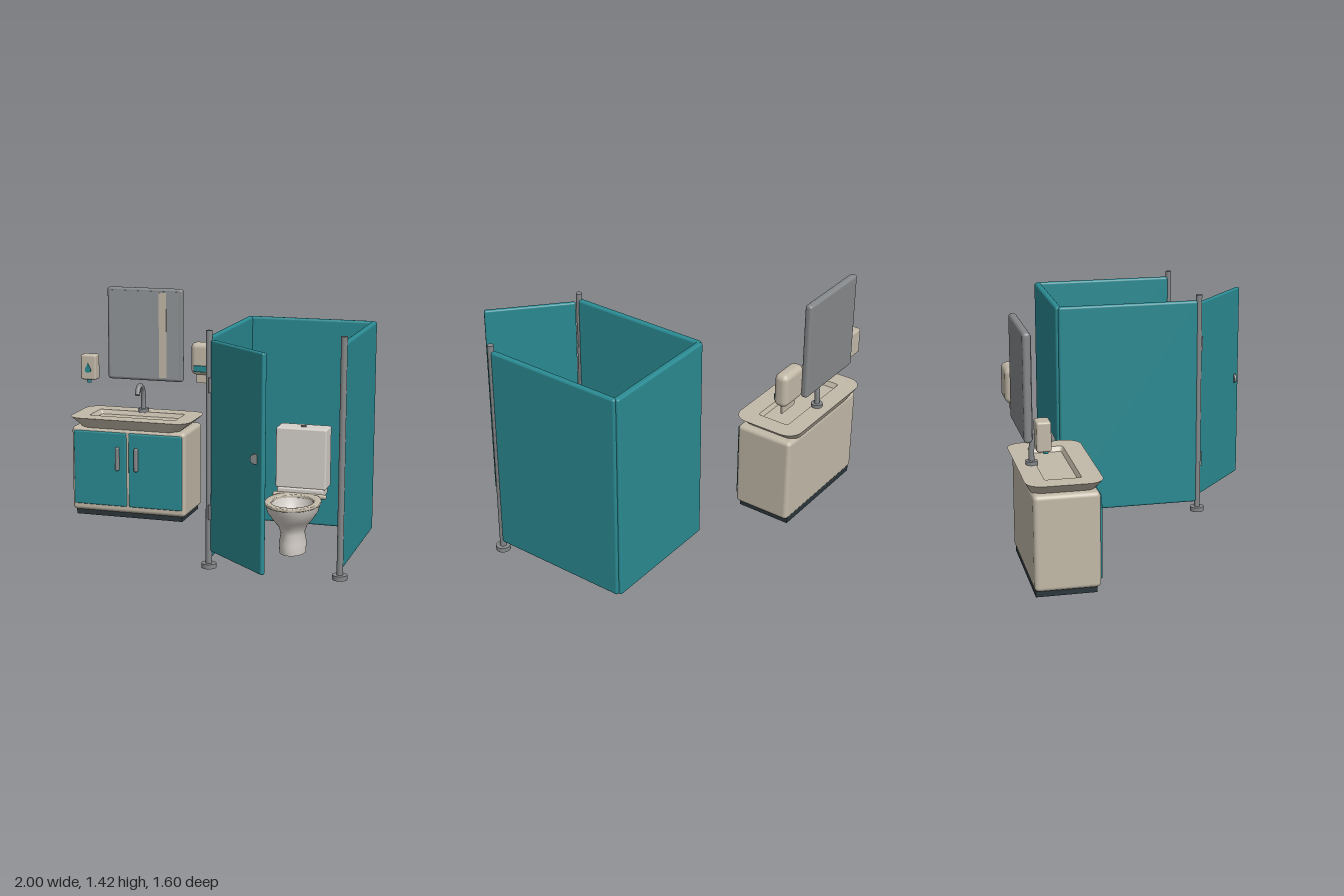
import * as THREE from 'three';
import { RoundedBoxGeometry } from 'three/addons/geometries/RoundedBoxGeometry.js';
import { toCreasedNormals } from 'three/addons/utils/BufferGeometryUtils.js';

const mat = (color) => new THREE.MeshStandardMaterial({ color, side: THREE.DoubleSide });
const TEAL = mat(0x2a8a92), BEIGE = mat(0xc2b9a8), WHITE = mat(0xd6d0ca), STEEL = mat(0x85888a);
const GLASS = mat(0x929799), DARK = mat(0x2b363b);

function add(parent, name, geometry, material, x = 0, y = 0, z = 0) {
  const mesh = new THREE.Mesh(geometry, material);
  mesh.name = name;
  mesh.position.set(x, y, z);
  parent.add(mesh);
  return mesh;
}

// Box given by its min and max on each axis, with optional rounded edges
function box(parent, name, material, [x0, x1], [y0, y1], [z0, z1], r = 0) {
  const size = [x1 - x0, y1 - y0, z1 - z0];
  const g = r ? new RoundedBoxGeometry(...size, 3, r) : new THREE.BoxGeometry(...size);
  return add(parent, name, g, material, (x0 + x1) / 2, (y0 + y1) / 2, (z0 + z1) / 2);
}

function rod(parent, name, material, r, y0, y1, x, z) {
  return add(parent, name, new THREE.CylinderGeometry(r, r, y1 - y0, 24), material, x, (y0 + y1) / 2, z);
}

function group(parent, name) {
  const g = new THREE.Group();
  g.name = name;
  parent.add(g);
  return g;
}

// Horizontal cross-sections
function ellipseRing(y, rx, rz, cz, n = 40) {
  return Array.from({ length: n }, (_, i) => {
    const t = (i / n) * Math.PI * 2;
    return [rx * Math.cos(t), y, cz + rz * Math.sin(t)];
  });
}
function rectRing(y, hw, hd, r) {
  const pts = [];
  for (let k = 0; k < 4; k++) {
    const sx = k === 0 || k === 3 ? 1 : -1, sz = k < 2 ? 1 : -1;
    for (let i = 0; i <= 6; i++) {
      const t = (k + i / 6) * Math.PI / 2;
      pts.push([sx * (hw - r) + r * Math.cos(t), y, sz * (hd - r) + r * Math.sin(t)]);
    }
  }
  return pts;
}

// Skin joining cross-sections in order, closed at both ends
function loft(rings, crease) {
  const n = rings[0].length, last = (rings.length - 1) * n, pos = rings.flat(2), idx = [];
  for (const ring of [rings[0], rings[rings.length - 1]]) {
    for (let a = 0; a < 3; a++) pos.push(ring.reduce((s, p) => s + p[a], 0) / n);
  }
  const c0 = rings.length * n, c1 = c0 + 1;
  for (let j = 0; j < n; j++) {
    const k = (j + 1) % n;
    for (let i = 0; i < last; i += n) idx.push(i + j, i + n + j, i + k, i + k, i + n + j, i + n + k);
    idx.push(c0, j, k, c1, last + k, last + j);
  }
  const g = new THREE.BufferGeometry();
  g.setAttribute('position', new THREE.Float32BufferAttribute(pos, 3));
  g.setIndex(idx);
  return toCreasedNormals(g, crease);
}

function buildStall(root) {
  const stall = group(root, 'stall');
  const high = [0.06, 1.32];
  box(stall, 'backPanel', TEAL, [0.2, 0.955], high, [-0.437, -0.397], 0.014);
  for (const [x, side] of [[0.203, 'right'], [0.953, 'left']]) {
    box(stall, side + 'Panel', TEAL, [x - 0.018, x + 0.018], high, [-0.42, 0.425], 0.014);
    const px = side === 'right' ? 0.2 : 0.955;
    rod(stall, side + 'Post', STEEL, 0.018, 0, 1.355, px, 0.432);
    rod(stall, side + 'PostFoot', STEEL, 0.042, 0, 0.027, px, 0.432);
  }

  // Half-open door turning about the right post
  const door = group(stall, 'door');
  door.position.set(0.222, 0, 0.442);
  door.rotation.y = -Math.atan2(0.35, 0.39);
  box(door, 'doorPanel', TEAL, [0, 0.524], [0.1, 1.305], [-0.014, 0.014], 0.01);
  for (const y of [0.285, 1.01]) rod(stall, 'hinge', STEEL, 0.014, y, y + 0.085, 0.215, 0.448);
  const latch = add(stall, 'latch', new THREE.CylinderGeometry(0.028, 0.028, 0.014, 24), STEEL, 0.557, 0.73, 0.765);
  latch.rotation.x = Math.PI / 2;
}

function buildToilet(root) {
  const toilet = group(root, 'toilet');
  toilet.position.x = 0.578;
  // Pedestal, outer bowl, rim and hollow inside: [y, half width, half length, centre z]
  const sections = [
    [0, 0.076, 0.107, -0.015], [0.06, 0.078, 0.115, -0.015], [0.12, 0.068, 0.1, -0.012],
    [0.165, 0.084, 0.115, -0.01], [0.2, 0.115, 0.145, -0.008], [0.25, 0.148, 0.185, -0.006],
    [0.29, 0.157, 0.197, -0.006], [0.295, 0.122, 0.15, 0.012], [0.24, 0.108, 0.132, 0.01],
    [0.19, 0.075, 0.09, 0], [0.165, 0.035, 0.045, -0.01],
  ];
  add(toilet, 'bowl', loft(sections.map((s) => ellipseRing(...s)), 0.9), WHITE);

  const ring = new THREE.Shape().absellipse(0, -0.008, 0.154, 0.2, 0, Math.PI * 2);
  ring.holes.push(new THREE.Path().absellipse(0, 0.012, 0.131, 0.156, 0, Math.PI * 2));
  const seat = new THREE.ExtrudeGeometry(ring, {
    depth: 0.008, bevelSize: 0.008, bevelThickness: 0.007, bevelSegments: 3, curveSegments: 40,
  });
  seat.rotateX(Math.PI / 2);
  add(toilet, 'seat', toCreasedNormals(seat, 0.8), BEIGE, 0, 0.304, 0);
  box(toilet, 'seatHinge', BEIGE, [-0.163, 0.163], [0.288, 0.314], [-0.18, -0.15], 0.012);
  box(toilet, 'tankShelf', WHITE, [-0.14, 0.14], [0.29, 0.34], [-0.305, -0.17], 0.01);
  box(toilet, 'tank', WHITE, [-0.153, 0.153], [0.335, 0.7], [-0.322, -0.185], 0.01);
  rod(toilet, 'flushButton', STEEL, 0.017, 0.695, 0.706, 0, -0.25);
}

function buildPaperHolder(root) {
  const holder = group(root, 'paperHolder');
  const roll = add(holder, 'paperRoll', new THREE.CylinderGeometry(0.057, 0.057, 0.07, 32), WHITE, 0.9, 0.498, -0.122);
  roll.rotation.z = Math.PI / 2;
  box(holder, 'holderArm', STEEL, [0.862, 0.87], [0.47, 0.49], [-0.122, -0.064]);
  box(holder, 'paperFlap', WHITE, [0.848, 0.885], [0.382, 0.49], [-0.07, -0.062], 0.003);
}

function buildVanity(root) {
  const vanity = group(root, 'vanity');
  box(vanity, 'plinth', DARK, [-0.94, -0.235], [0, 0.04], [-0.76, -0.425]);
  box(vanity, 'cabinet', BEIGE, [-0.962, -0.21], [0.032, 0.572], [-0.768, -0.406], 0.025);
  for (const [x0, x1, hx] of [[-0.945, -0.595, -0.65], [-0.58, -0.23, -0.526]]) {
    box(vanity, 'cabinetDoor', TEAL, [x0, x1], [0.075, 0.55], [-0.42, -0.396], 0.01);
    box(vanity, 'doorHandle', STEEL, [hx - 0.012, hx + 0.012], [0.31, 0.46], [-0.4, -0.372], 0.009);
  }

  // Flared top with a shallow recess
  const top = loft([
    rectRing(0.562, 0.315, 0.172, 0.06), rectRing(0.632, 0.397, 0.21, 0.09),
    rectRing(0.632, 0.286, 0.1, 0.012), rectRing(0.605, 0.27, 0.088, 0.012),
  ], 0.5);
  add(vanity, 'basin', top, BEIGE, -0.587, 0, -0.592);

  // Curved tap
  rod(vanity, 'tapBase', STEEL, 0.034, 0.625, 0.652, -0.587, -0.715);
  const path = new THREE.CatmullRomCurve3([
    [0.65, -0.715], [0.72, -0.714], [0.775, -0.7], [0.807, -0.66], [0.8, -0.62], [0.76, -0.597],
  ].map(([y, z]) => new THREE.Vector3(-0.587, y, z)));
  add(vanity, 'tapSpout', new THREE.TubeGeometry(path, 32, 0.016, 12), STEEL);
  const tip = add(vanity, 'spoutTip', new THREE.CylinderGeometry(0.016, 0.016, 0.006, 12), STEEL, -0.587, 0.76, -0.597);
  tip.rotation.x = -0.5;
}

function buildWallItems(root) {
  const mirror = group(root, 'mirror');
  box(mirror, 'mirrorFrame', STEEL, [-0.84, -0.335], [0.825, 1.42], [-0.79, -0.745], 0.018);
  box(mirror, 'mirrorGlass', GLASS, [-0.822, -0.353], [0.843, 1.402], [-0.76, -0.742]);
  box(mirror, 'mirrorHighlight', BEIGE, [-0.49, -0.44], [0.85, 1.395], [-0.745, -0.74]);

  const soap = group(root, 'soapDispenser');
  box(soap, 'soapBody', BEIGE, [-1, -0.897], [0.823, 0.985], [-0.75, -0.672], 0.012);
  rod(soap, 'soapNozzle', TEAL, 0.014, 0.803, 0.83, -0.949, -0.695);
  const drop = new THREE.Shape();
  drop.moveTo(0, 0.035);
  drop.bezierCurveTo(0.008, 0.015, 0.02, 0.005, 0.02, -0.008);
  drop.bezierCurveTo(0.02, -0.034, -0.02, -0.034, -0.02, -0.008);
  drop.bezierCurveTo(-0.02, 0.005, -0.008, 0.015, 0, 0.035);
  add(soap, 'soapDrop', new THREE.ExtrudeGeometry(drop, { depth: 0.006, bevelEnabled: false }), TEAL, -0.949, 0.897, -0.674);

  const towels = group(root, 'towelDispenser');
  box(towels, 'towelBody', BEIGE, [-0.275, -0.08], [0.883, 1.09], [-0.805, -0.718], 0.035);
  box(towels, 'towelSlot', TEAL, [-0.25, -0.108], [0.905, 0.946], [-0.73, -0.71], 0.004);
  box(towels, 'paperTowel', BEIGE, [-0.243, -0.112], [0.828, 0.91], [-0.765, -0.755]);
}

export function createModel() {
  const root = new THREE.Group();
  root.name = 'restroom';
  buildStall(root);
  buildToilet(root);
  buildPaperHolder(root);
  buildVanity(root);
  buildWallItems(root);
  return root;
}
